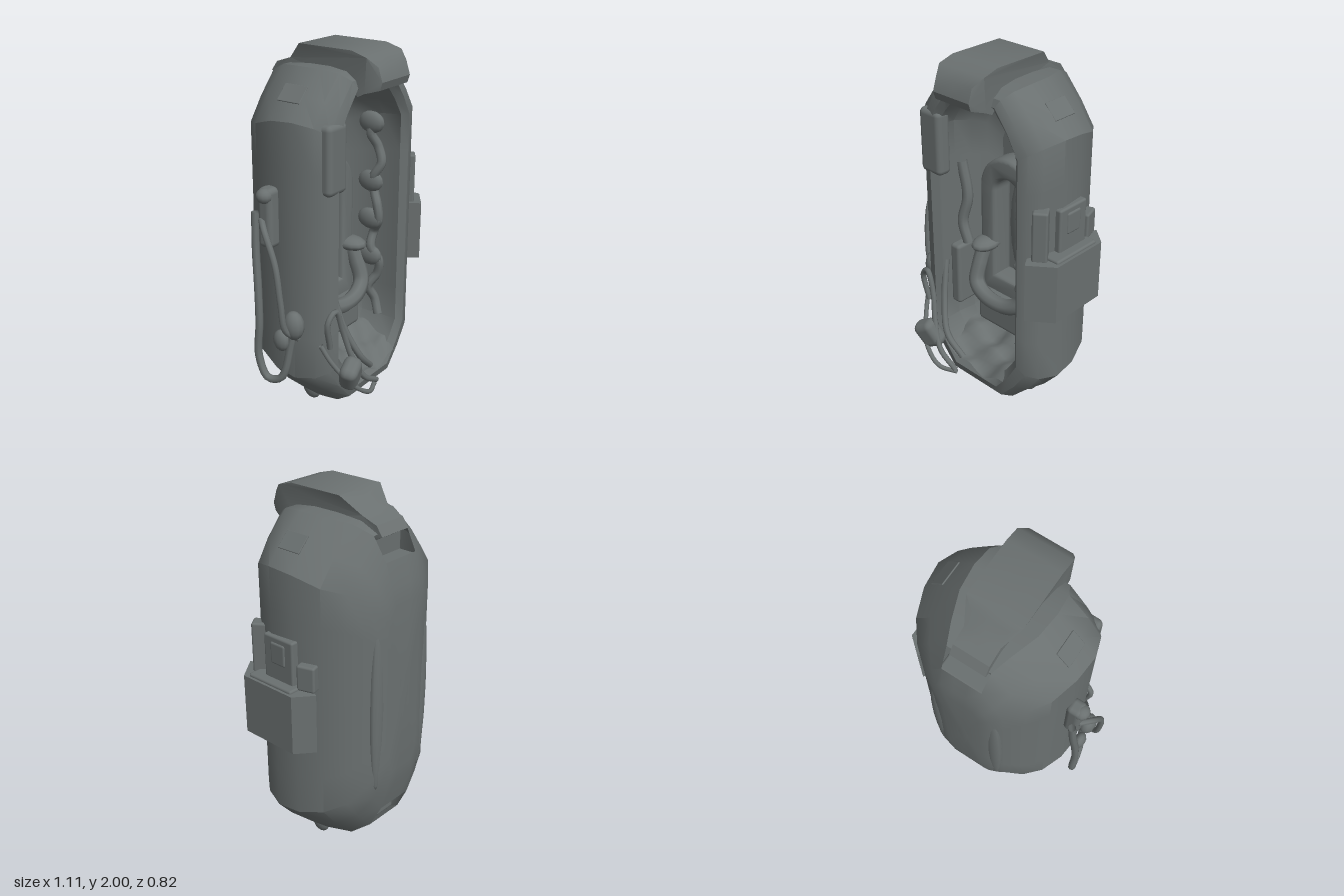
import * as THREE from 'three';
import { toCreasedNormals } from 'three/addons/utils/BufferGeometryUtils.js';
import { RoundedBoxGeometry } from 'three/addons/geometries/RoundedBoxGeometry.js';

const V = (p) => new THREE.Vector3(...p);
const hull = new THREE.MeshStandardMaterial({ color: 0x6a7070, side: THREE.DoubleSide });
hull.name = 'hull grey';
const CX = 0.025; // the hull sits slightly off centre

export function createModel() {
  const root = new THREE.Group();
  root.name = 'pod';

  const add = (name, geo, pos = [0, 0, 0], rot = [0, 0, 0]) => {
    const m = new THREE.Mesh(geo, hull);
    m.name = name;
    m.position.set(...pos);
    m.rotation.set(...rot);
    root.add(m);
    return m;
  };
  const box = (name, size, pos, rot, r = 0.012) => add(name, new RoundedBoxGeometry(...size, 2, r), pos, rot);
  const tube = (name, pts, r) =>
    add(name, new THREE.TubeGeometry(new THREE.CatmullRomCurve3(pts.map(V)), pts.length * 6, r, 8));
  const blob = (name, pos, s) => add(name, new THREE.SphereGeometry(1, 12, 8), pos).scale.set(...s);

  // Shell: chamfered outlines stacked from the back, round the rim and into the cavity
  // [z, half width, bottom, top, flat half width, chamfer height]
  const rings = [
    [-0.415, 0.11, 0.55, 1.5, 0.08, 0.1],
    [-0.402, 0.165, 0.45, 1.6, 0.1, 0.14],
    [-0.37, 0.225, 0.3, 1.72, 0.11, 0.2],
    [-0.3, 0.31, 0.16, 1.84, 0.12, 0.24],
    [-0.2, 0.385, 0.08, 1.885, 0.16, 0.26],
    [-0.06, 0.432, 0.07, 1.9, 0.21, 0.23],
    [0.08, 0.445, 0.07, 1.905, 0.225, 0.22],
    [0.19, 0.41, 0.08, 1.895, 0.215, 0.23],
    [0.25, 0.36, 0.11, 1.86, 0.185, 0.23],
    [0.265, 0.31, 0.16, 1.82, 0.16, 0.22],
    [0.235, 0.275, 0.2, 1.79, 0.13, 0.19],
    [0.12, 0.275, 0.2, 1.78, 0.13, 0.19],
    [0.02, 0.25, 0.22, 1.75, 0.12, 0.18],
    [-0.06, 0.21, 0.3, 1.71, 0.11, 0.17],
    [-0.13, 0.16, 0.4, 1.6, 0.09, 0.15],
  ];
  const STEPS = [3, 2, 6, 2, 3, 2, 6, 2];
  const outline = ([z, w, b, t, f, c]) => {
    const k = [[f, b], [w, b + c], [w, t - c], [f, t], [-f, t], [-w, t - c], [-w, b + c], [-f, b]];
    const out = [];
    // order: bottom edge, then anticlockwise seen from the front
    for (let e = 0; e < 8; e++) {
      const p = k[(e + 7) % 8], q = k[e];
      for (let s = 0; s < STEPS[e]; s++) {
        const u = s / STEPS[e];
        const bulge = e % 2 ? 1 + 0.2 * u * (1 - u) : 1;
        out.push([CX + (p[0] + (q[0] - p[0]) * u) * bulge, p[1] + (q[1] - p[1]) * u, z]);
      }
    }
    return out;
  };
  const loops = rings.map(outline);
  const n = loops[0].length;
  const idx = [];
  for (let i = 0; i < loops.length - 1; i++) {
    for (let j = 0; j < n; j++) {
      const opening = i === 2 && (j < 3 || (j >= 13 && j < 16)); // rear openings, low and high
      if (opening) continue;
      const a = i * n + j, b = i * n + ((j + 1) % n);
      idx.push(a, b, b + n, a, b + n, a + n);
    }
  }
  const verts = loops.flat();
  for (const [i, flip] of [[0, true], [loops.length - 1, false]]) {
    const c = verts.length;
    verts.push([CX, 1, rings[i][0]]);
    for (let j = 0; j < n; j++) {
      const a = i * n + j, b = i * n + ((j + 1) % n);
      idx.push(...(flip ? [c, b, a] : [c, a, b]));
    }
  }
  const shell = new THREE.BufferGeometry();
  shell.setAttribute('position', new THREE.Float32BufferAttribute(verts.flat(), 3));
  shell.setIndex(idx);
  add('shell', toCreasedNormals(shell, 0.6));

  // Pockets behind the two rear openings
  box('upperPocket', [0.26, 0.03, 0.16], [CX, 1.69, -0.29]);
  box('upperPocketWall', [0.26, 0.18, 0.03], [CX, 1.76, -0.25]);
  box('lowerPocket', [0.26, 0.03, 0.16], [CX, 0.33, -0.29]);
  box('lowerPocketWall', [0.26, 0.22, 0.03], [CX, 0.24, -0.24]);

  // Overhanging hood: side profile extruded across, narrow at the rear and tapered at the front lip
  const side = new THREE.Shape([[0.26, 1.78], [0.3, 1.8], [0.37, 1.82], [0.383, 1.86], [0.36, 1.93], [0.31, 1.975],
    [0.22, 2], [-0.1, 2], [-0.14, 1.975], [-0.2, 1.91], [-0.29, 1.88], [-0.325, 1.83], [-0.29, 1.81], [0.2, 1.84]]
    .map(([z, y]) => new THREE.Vector2(-z, y)));
  const hood = new THREE.ExtrudeGeometry(side, { depth: 0.3, steps: 2, bevelEnabled: false });
  hood.translate(0, 0, -0.15).rotateY(Math.PI / 2);
  const hp = hood.attributes.position;
  for (let i = 0; i < hp.count; i++) {
    const z = hp.getZ(i);
    hp.setX(i, hp.getX(i) * (z < -0.12 ? 0.65 : z > 0.32 ? 0.8 : 1) + 0.017);
  }
  add('hood', toCreasedNormals(hood, 0.6));
  box('hoodLatch', [0.15, 0.05, 0.05], [0.02, 1.82, 0.255]);

  for (const s of [-1, 1]) {
    // Shoulder hatches, back ribs and feet
    box('shoulderHatch', [0.1, 0.008, 0.14], [CX + s * 0.345, 1.797, 0.01], [0, 0, -s * 0.8], 0.003);
    blob('backRib', [CX + s * 0.17, 0.95, -0.378], [0.05, 0.5, 0.03]);
    const foot = add('foot', new THREE.SphereGeometry(1, 10, 8), [CX + s * 0.2, 0.075, 0]);
    foot.scale.set(0.025, 0.06, 0.06);
  }
  blob('backPanel', [CX, 1.0, -0.395], [0.1, 0.42, 0.022]);

  // Drain plug
  const plug = [[0, 0], [0.035, 0.01], [0.04, 0.035], [0.06, 0.045], [0.065, 0.075], [0.1, 0.11]];
  add('drainPlug', new THREE.LatheGeometry(plug.map((p) => new THREE.Vector2(...p)), 16), [0.02, 0, 0]);

  // Side locker with its mounting plates
  const plan = new THREE.Shape([[0.37, 0.22], [0.425, 0.305], [0.555, 0.21], [0.555, -0.13], [0.46, -0.21], [0.4, -0.1]]
    .map(([x, z]) => new THREE.Vector2(x, -z)));
  const locker = new THREE.ExtrudeGeometry(plan, { depth: 0.33, bevelEnabled: false }).rotateX(-Math.PI / 2);
  add('locker', locker, [0, 0.75, 0]);
  box('lockerLid', [0.12, 0.03, 0.3], [0.48, 1.08, 0.04]);
  box('frontBracket', [0.08, 0.28, 0.11], [0.425, 1.21, 0.19], [0, 0.6, 0]);
  box('sideBracket', [0.05, 0.26, 0.2], [0.465, 1.2, 0.02]);
  box('bracketPad', [0.03, 0.12, 0.1], [0.482, 1.24, 0.02]);
  box('rearBracket', [0.06, 0.14, 0.1], [0.445, 1.15, -0.14], [0, 0.3, 0]);

  // Thick pad on the upper part of the rim
  box('rimPad', [0.15, 0.36, 0.09], [-0.285, 1.5, 0.222], [0, 0, 0], 0.03);
  box('innerPost', [0.07, 0.38, 0.14], [-0.225, 0.68, 0.1], [0, 0, 0], 0.02);

  // Seat: arched backrest with a recessed centre
  const arch = (w, b, t) => {
    const s = new THREE.Shape();
    s.moveTo(-w, b).lineTo(w, b).lineTo(w, t - w);
    s.absarc(0, t - w, w, 0, Math.PI, false);
    return s.lineTo(-w, b);
  };
  const rest = arch(0.18, 0.55, 1.38);
  rest.holes.push(arch(0.11, 0.64, 1.3));
  const bevel = { depth: 0.08, bevelSize: 0.02, bevelThickness: 0.03, bevelSegments: 3, curveSegments: 16 };
  add('backrest', toCreasedNormals(new THREE.ExtrudeGeometry(rest, bevel), 0.7), [0.01, 0, -0.11]);
  blob('backCushion', [0.04, 0.98, -0.12], [0.1, 0.34, 0.05]);
  tube('seatRim', [[-0.15, 0.86, -0.02], [-0.16, 0.74, 0.03], [-0.15, 0.62, 0.07], [-0.06, 0.57, 0.09],
    [0.1, 0.57, 0.09], [0.19, 0.63, 0.07], [0.2, 0.74, 0.03], [0.19, 0.86, -0.02]], 0.045);
  for (const s of [-1, 1]) blob('armrest', [0.02 + s * 0.16, 0.85, 0], [0.07, 0.04, 0.1]);
  box('seatBase', [0.36, 0.2, 0.2], [0.02, 0.46, -0.04], [0, 0, 0], 0.03);

  // Rumpled lining on the floor, sloping to the rim, and along one wall
  const floor = new THREE.PlaneGeometry(0.44, 0.3, 14, 10).rotateX(-Math.PI / 2);
  const fp = floor.attributes.position;
  for (let i = 0; i < fp.count; i++) {
    const x = fp.getX(i), z = fp.getZ(i);
    fp.setY(i, 0.016 * Math.sin(x * 31 + z * 17) + 0.016 * Math.sin(z * 43 - x * 13) - z * 0.6 + Math.abs(x) * 0.2);
  }
  floor.computeVertexNormals();
  add('floorLining', floor, [0.02, 0.28, 0.12]);
  const wall = [];
  for (let i = 0; i < 15; i++) wall.push([0.25 + 0.018 * Math.sin(i * 2.3), 0.42 + i * 0.083, 0.12 + 0.03 * Math.cos(i * 1.7)]);
  tube('wallLining', wall, 0.026);
  for (const y of [0.78, 1.0, 1.22, 1.55]) blob('liningFold', [0.24, y, 0.09], [0.035, 0.06, 0.08]);
  tube('innerHose', [[-0.24, 1.35, 0.08], [-0.2, 1.15, 0.08], [-0.22, 1, 0.1], [-0.18, 0.88, 0.1]], 0.03);

  // Hoses and fittings on the outside wall
  blob('hoseFitting', [-0.465, 1.3, -0.06], [0.045, 0.04, 0.045]);
  box('hoseMount', [0.09, 0.32, 0.09], [-0.435, 1.18, -0.06], [0, 0, 0], 0.03);
  tube('outerHose', [[-0.47, 1.17, -0.08], [-0.52, 1.14, -0.02], [-0.538, 0.98, 0.06], [-0.537, 0.78, 0.09],
    [-0.515, 0.62, 0.1], [-0.44, 0.55, 0.12]], 0.017);
  tube('innerSideHose', [[-0.46, 1.2, -0.13], [-0.475, 1.0, -0.12], [-0.49, 0.8, -0.1], [-0.5, 0.6, -0.09],
    [-0.5, 0.4, -0.1], [-0.49, 0.28, -0.05], [-0.475, 0.3, 0.03], [-0.45, 0.5, 0.08], [-0.43, 0.66, 0.1]], 0.021);
  blob('lowerFitting', [-0.46, 0.63, 0.11], [0.05, 0.08, 0.06]);
  blob('lowerFitting', [-0.465, 0.52, 0.03], [0.035, 0.06, 0.05]);

  // Bundle of cables and a pouch at the front
  box('pouch', [0.14, 0.17, 0.1], [-0.27, 0.34, 0.335], [0.2, 0.3, 0.45], 0.04);
  tube('frontCable', [[-0.35, 0.5, 0.26], [-0.38, 0.66, 0.27], [-0.33, 0.71, 0.28], [-0.28, 0.58, 0.29],
    [-0.24, 0.42, 0.32], [-0.17, 0.28, 0.35], [-0.05, 0.2, 0.35]], 0.016);
  tube('frontCable', [[-0.39, 0.52, 0.23], [-0.36, 0.42, 0.28], [-0.28, 0.28, 0.36], [-0.16, 0.19, 0.38],
    [-0.05, 0.18, 0.34]], 0.013);
  tube('frontCable', [[-0.26, 0.78, 0.2], [-0.22, 0.55, 0.26], [-0.15, 0.38, 0.31], [-0.04, 0.27, 0.3]], 0.018);
  return root;
}
